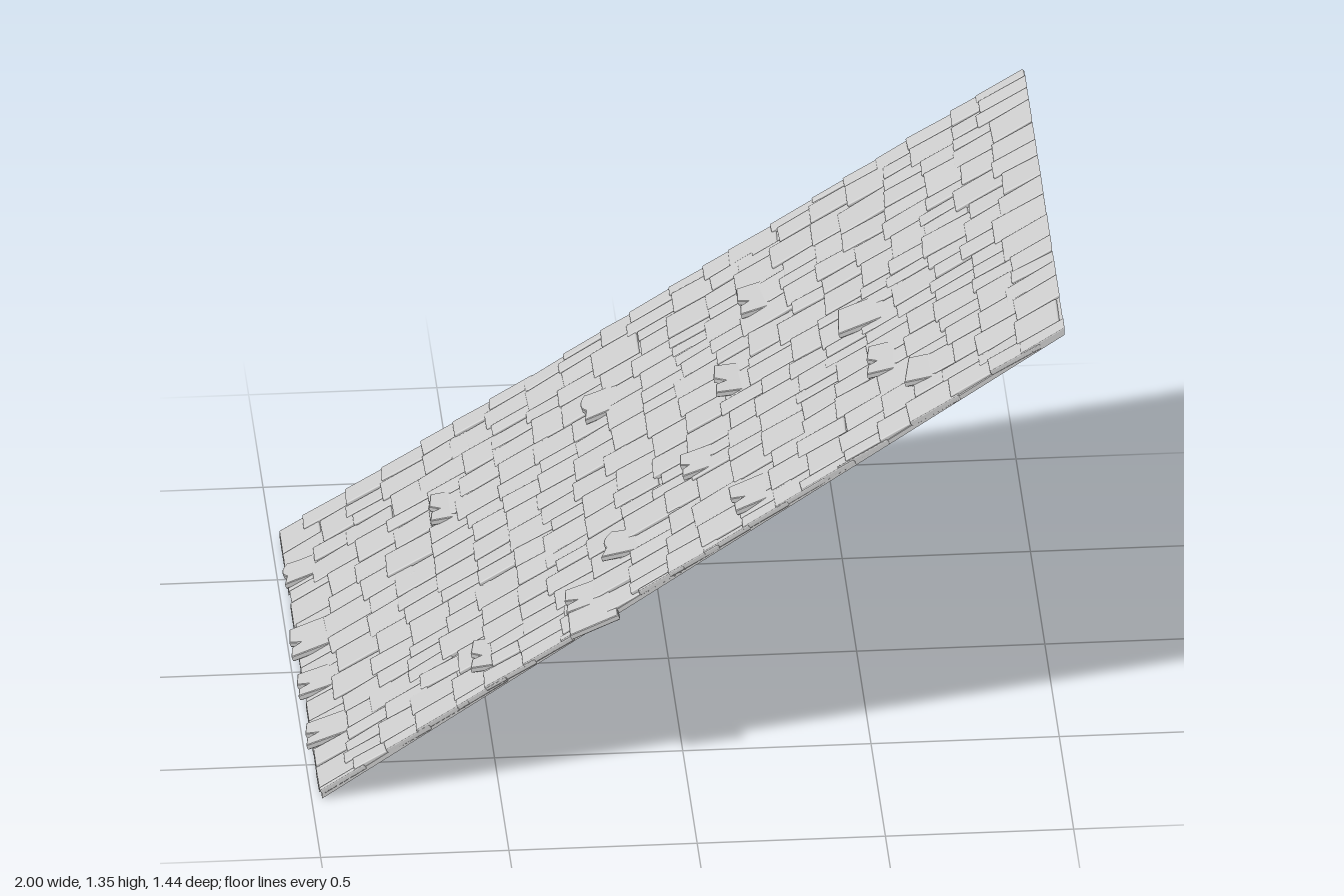
import * as THREE from 'three';
import { mergeGeometries } from 'three/addons/utils/BufferGeometryUtils.js';
import { RoundedBoxGeometry } from 'three/addons/geometries/RoundedBoxGeometry.js';

const X0 = -0.972, X1 = 1, Z0 = -0.72, Z1 = 0.684;
const SLOPE = 1.325 / (X1 - X0), PITCH = Math.atan(SLOPE);
const under = (x) => (x - X0) * SLOPE; // height of the underside

let seed = 7;
function rand(a, b) {
  seed = (seed * 16807) % 2147483647;
  return a + (b - a) * (seed / 2147483647);
}

const grey = new THREE.MeshStandardMaterial({ color: 0xcccccc });

function part(name, geometry) {
  const mesh = new THREE.Mesh(geometry, grey);
  mesh.name = name;
  return mesh;
}

// Sloping board with upright cut ends
function makeBoard() {
  const t = 0.015;
  const s = new THREE.Shape([
    new THREE.Vector2(X0, 0), new THREE.Vector2(X1, under(X1)),
    new THREE.Vector2(X1, under(X1) + t), new THREE.Vector2(X0, t),
  ]);
  const g = new THREE.ExtrudeGeometry(s, { depth: Z1 - Z0, bevelEnabled: false });
  g.translate(0, 0, Z0);
  return part('roofBoard', g);
}

// One laid shingle, trimmed at the borders of the roof
function laidShingle(x, z, length, width) {
  const g = new RoundedBoxGeometry(length, 0.015, width, 1, 0.004);
  g.rotateX(rand(-0.04, 0.04));
  g.rotateY(rand(-0.035, 0.035));
  g.rotateZ(PITCH - rand(0.02, 0.07));
  g.translate(x, under(x) + 0.0145 + rand(0, 0.004), z);
  const p = g.attributes.position;
  for (let i = 0; i < p.count; i++) {
    const px = THREE.MathUtils.clamp(p.getX(i), X0 - 0.006, X1);
    const py = p.getY(i) + (px - p.getX(i)) * SLOPE;
    const pz = THREE.MathUtils.clamp(p.getZ(i), Z0, Z1);
    p.setXYZ(i, px, Math.max(py, under(px) + 0.001, 0), pz);
  }
  return g;
}

// Overlapping courses from the eave up to the ridge
function makeCourses() {
  const list = [];
  const courses = 21, step = (X1 - X0) / courses;
  for (let c = 0; c < courses; c++) {
    const x = X0 + (c + 0.5) * step;
    let z = Z0 - rand(0, 0.04);
    while (z < Z1 - 0.01) {
      const w = rand(0.05, 0.125);
      const length = (step + rand(0.015, 0.045)) / Math.cos(PITCH);
      list.push(laidShingle(x + rand(-0.018, 0.018), z + w / 2, length, w - 0.003));
      z += w;
    }
  }
  return part('shingleCourses', mergeGeometries(list));
}

// Loose shingle: raised at its lower edge, upper edge sunk through the board
function looseShingle([x0, x1, z0, z1, yaw, dip, kind, lift = 0.034]) {
  const xe = x1 + 0.015;
  const yLow = under(x0) + lift, yHigh = under(xe) - dip;
  const len = Math.hypot(xe - x0, yHigh - yLow), h = (z1 - z0) / 2;
  const s = new THREE.Shape();
  s.moveTo(0, -h);
  s.lineTo(len, -h);
  s.lineTo(len, h);
  if (kind === 'worn') {
    s.quadraticCurveTo(len * 0.5, h * 0.75, len * 0.15, h * 0.95);
    s.quadraticCurveTo(-0.01, h * 0.3, 0.012, -h * 0.3);
  } else {
    s.lineTo(0.006, h);
    if (kind === 'split') {
      s.lineTo(0, h * 0.1);
      s.lineTo(len * 0.26, -h * 0.2);
      s.lineTo(0.004, -h * 0.4);
    }
  }
  s.closePath();
  const g = new THREE.ExtrudeGeometry(s, {
    depth: 0.012, bevelThickness: 0.002, bevelSize: 0.002, bevelSegments: 1, curveSegments: 6,
  });
  g.rotateX(-Math.PI / 2);
  g.translate(-len / 2, 0.002, 0);
  g.rotateY(yaw);
  g.translate(len / 2, 0, 0);
  const mesh = part('looseShingle', g);
  mesh.rotation.z = Math.atan2(yHigh - yLow, xe - x0);
  mesh.position.set(x0, yLow, (z0 + z1) / 2);
  return mesh;
}

// low x, high x, low z, high z, yaw, depth below the board, outline, lift
const LOOSE = [
  [-0.985, -0.87, -0.51, -0.41, 0.08, 0.008, 'worn'],
  [-0.992, -0.89, -0.16, -0.02, 0, -0.004, 'split', 0.036],
  [-0.99, -0.88, 0.08, 0.19, 0, 0.006, 'split'],
  [-0.988, -0.87, 0.35, 0.46, -0.03, 0.004, 'split'],
  [-0.605, -0.51, -0.4, -0.265, -0.03, 0.02, 'split'],
  [-0.2, -0.08, -0.425, -0.3, 0.12, 0.008, 'worn'],
  [0.22, 0.315, -0.47, -0.335, 0.05, 0.008, 'split'],
  [0.13, 0.24, -0.145, -0.005, 0, 0.025, 'split', 0.045],
  [0.455, 0.56, -0.05, 0.07, -0.03, -0.004, 'plain'],
  [0.02, 0.095, 0.175, 0.285, 0.04, -0.004, 'split'],
  [0.51, 0.6, 0.22, 0.36, -0.07, 0.008, 'split'],
  [-0.2, -0.075, 0.34, 0.46, -0.13, 0.014, 'worn', 0.04],
  [0.6, 0.7, 0.4, 0.52, -0.12, 0.012, 'plain'],
  [0.13, 0.25, 0.48, 0.61, 0.12, 0.008, 'split'],
  [-0.56, -0.465, 0.45, 0.59, -0.08, 0.02, 'split'],
  [-0.31, -0.2, 0.6, 0.718, 0.02, 0, 'plain', 0.03],
  [-0.31, -0.195, 0.49, 0.605, 0, 0.005, 'split'],
];

export function createModel() {
  const model = new THREE.Group();
  model.name = 'shingledRoofPanel';
  model.add(makeBoard(), makeCourses());
  const loose = new THREE.Group();
  loose.name = 'looseShingles';
  LOOSE.forEach((row) => loose.add(looseShingle(row)));
  model.add(loose);
  return model;
}
